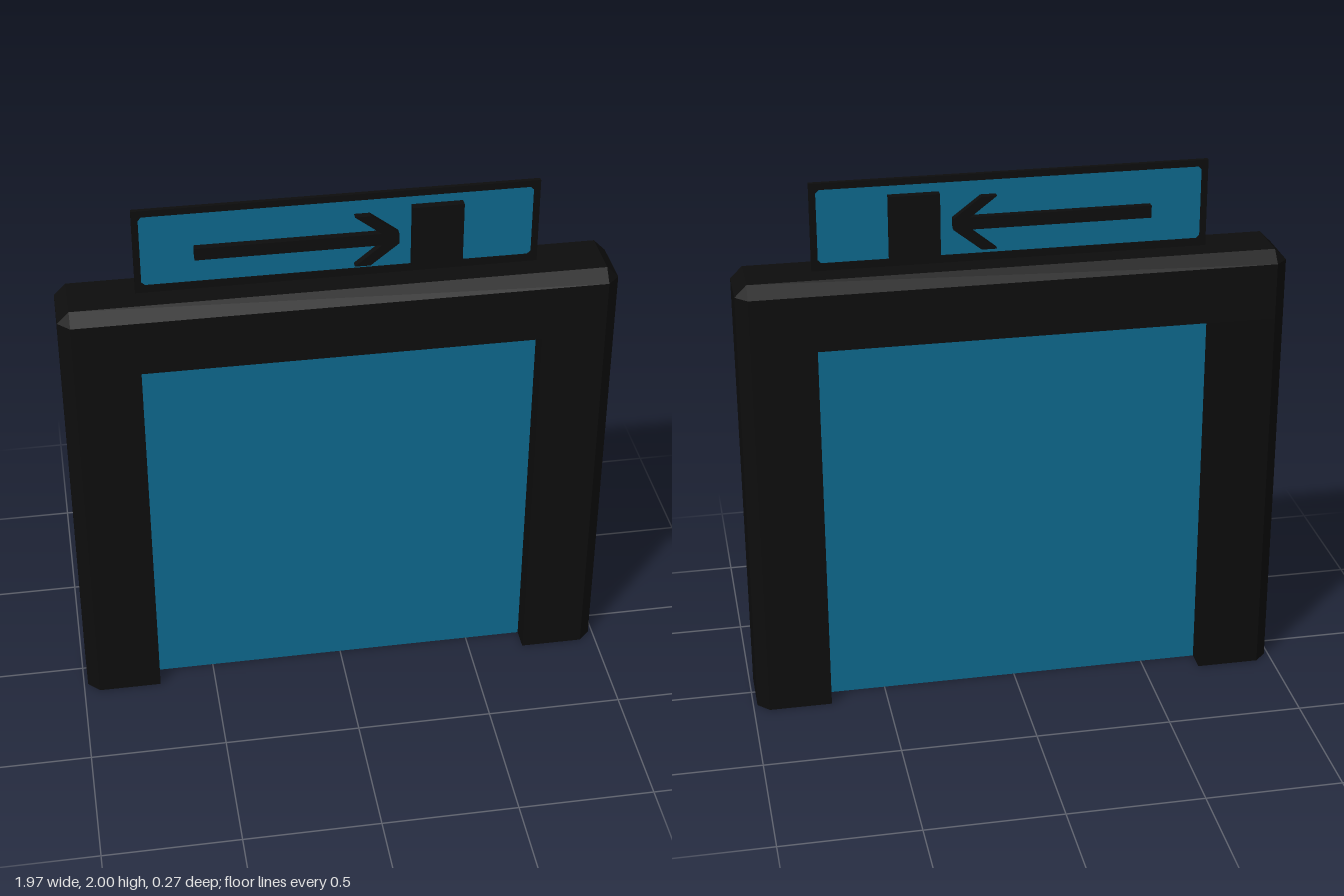
import * as THREE from 'three';
import { ConvexGeometry } from 'three/addons/geometries/ConvexGeometry.js';

const black = new THREE.MeshStandardMaterial({ color: 0x0d0d0d });
black.name = 'black';
const blue = new THREE.MeshStandardMaterial({ color: 0x0e6a8f });
blue.name = 'blue';

// Frame half width, half depth, height, chamfer; opening half width and height
const X = 0.985, Z = 0.137, H = 1.68, C = 0.043, OX = 0.71, OY = 1.43;

function add(group, name, geometry, material, x = 0, y = 0, z = 0) {
  const mesh = new THREE.Mesh(geometry, material);
  mesh.name = name;
  mesh.position.set(x, y, z);
  group.add(mesh);
  return mesh;
}

const toShape = (points) => new THREE.Shape(points.map(([x, y]) => new THREE.Vector2(x, y)));

// Flat outline extruded symmetrically about z = 0
function slab(shape, depth) {
  const geometry = new THREE.ExtrudeGeometry(shape, { depth, bevelEnabled: false });
  return geometry.translate(0, 0, -depth / 2);
}

// Rectangle with cut corners
const cutRect = (w, y0, y1, c) => [
  [-w + c, y0], [w - c, y0], [w, y0 + c], [w, y1 - c],
  [w - c, y1], [-w + c, y1], [-w, y1 - c], [-w, y0 + c],
];

// Lintel: an octagonal plan that chamfers in to a smaller flat top
function lintelGeometry() {
  const points = [];
  for (const sx of [-1, 1]) for (const sz of [-1, 1]) {
    for (const y of [OY, H - C]) {
      points.push(new THREE.Vector3(sx * X, y, sz * (Z - C)));
      points.push(new THREE.Vector3(sx * (X - C), y, sz * Z));
    }
    points.push(new THREE.Vector3(sx * (X - C), H, sz * (Z - C)));
  }
  return new ConvexGeometry(points);
}

// Leg: chamfered on its two outer vertical edges only
function legGeometry(side) {
  const plan = [[OX, -Z], [X - C, -Z], [X, -Z + C], [X, Z - C], [X - C, Z], [OX, Z]];
  const geometry = new THREE.ExtrudeGeometry(
    toShape(plan.map(([x, z]) => [side * x, z])), { depth: OY, bevelEnabled: false });
  return geometry.rotateX(-Math.PI / 2);
}

export function createModel() {
  const model = new THREE.Group();
  model.name = 'gateway';

  // Portal frame
  const frame = new THREE.Group();
  frame.name = 'frame';
  add(frame, 'lintel', lintelGeometry(), black);
  add(frame, 'leftLeg', legGeometry(1), black);
  add(frame, 'rightLeg', legGeometry(-1), black);
  model.add(frame);

  // Panel filling the opening
  add(model, 'panel', new THREE.BoxGeometry(OX * 2, OY, 0.11), blue, 0, OY / 2, 0);

  // Sign board: thin border around a coloured plate
  const sign = new THREE.Group();
  sign.name = 'sign';
  const border = toShape([[-0.708, H - 0.01], [0.708, H - 0.01], [0.708, 2], [-0.708, 2]]);
  border.holes.push(toShape(cutRect(0.685, 1.708, 1.976, 0.012)));
  add(sign, 'signBorder', slab(border, 0.016), black);
  add(sign, 'signPlate', new THREE.BoxGeometry(1.39, 0.28, 0.009), blue, 0, 1.842, 0);

  // Arrow and doorway symbols stand out on both faces
  const arrow = toShape([
    [-0.5, 1.805], [0.15, 1.805], [0.055, 1.728], [0.11, 1.728], [0.21, 1.807],
    [0.21, 1.847], [0.11, 1.923], [0.055, 1.923], [0.15, 1.85], [-0.5, 1.85],
  ]);
  add(sign, 'arrow', slab(arrow, 0.062), black);
  add(sign, 'doorSymbol', new THREE.BoxGeometry(0.18, 0.231, 0.068), black, 0.346, 1.828, 0);
  model.add(sign);

  return model;
}
